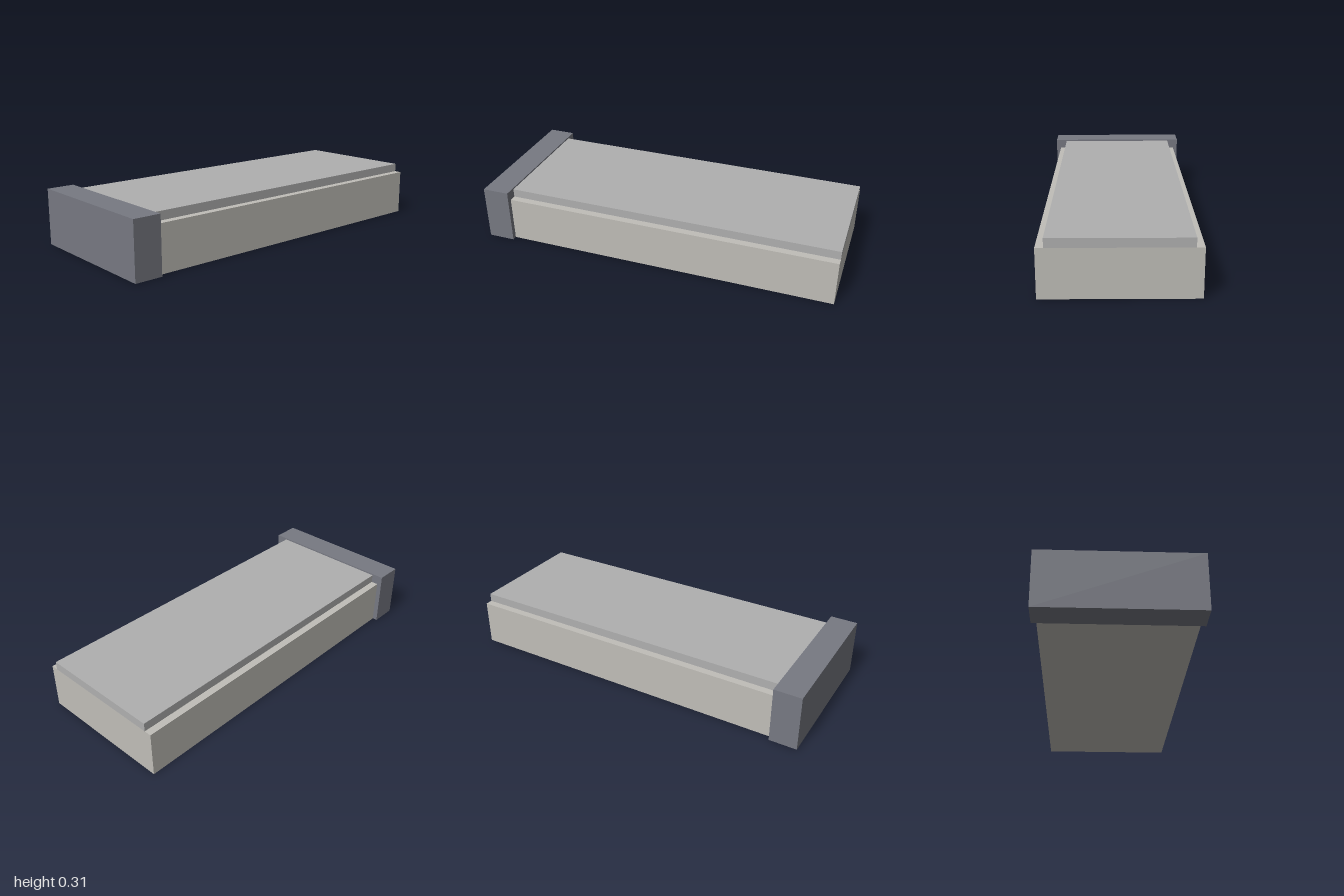
import * as THREE from 'three';

// Box given by its width and its y and z extents, centred on x = 0
function slab(name, color, width, [y0, y1], [z0, z1]) {
  const mesh = new THREE.Mesh(
    new THREE.BoxGeometry(width, y1 - y0, z1 - z0),
    new THREE.MeshStandardMaterial({ color })
  );
  mesh.position.set(0, (y0 + y1) / 2, (z0 + z1) / 2);
  mesh.name = name;
  return mesh;
}

export function createModel() {
  const model = new THREE.Group();
  model.name = 'drawer';
  model.add(
    // Long base block
    slab('body', 0xc0beb8, 0.77, [0, 0.253], [-1, 0.85]),
    // Narrower raised panel along the top, flush at the back
    slab('topPanel', 0xb0b0b0, 0.69, [0.253, 0.3], [-1, 0.85]),
    // Wider, slightly taller front cap
    slab('frontCap', 0x777982, 0.824, [0, 0.308], [0.85, 1])
  );
  return model;
}
